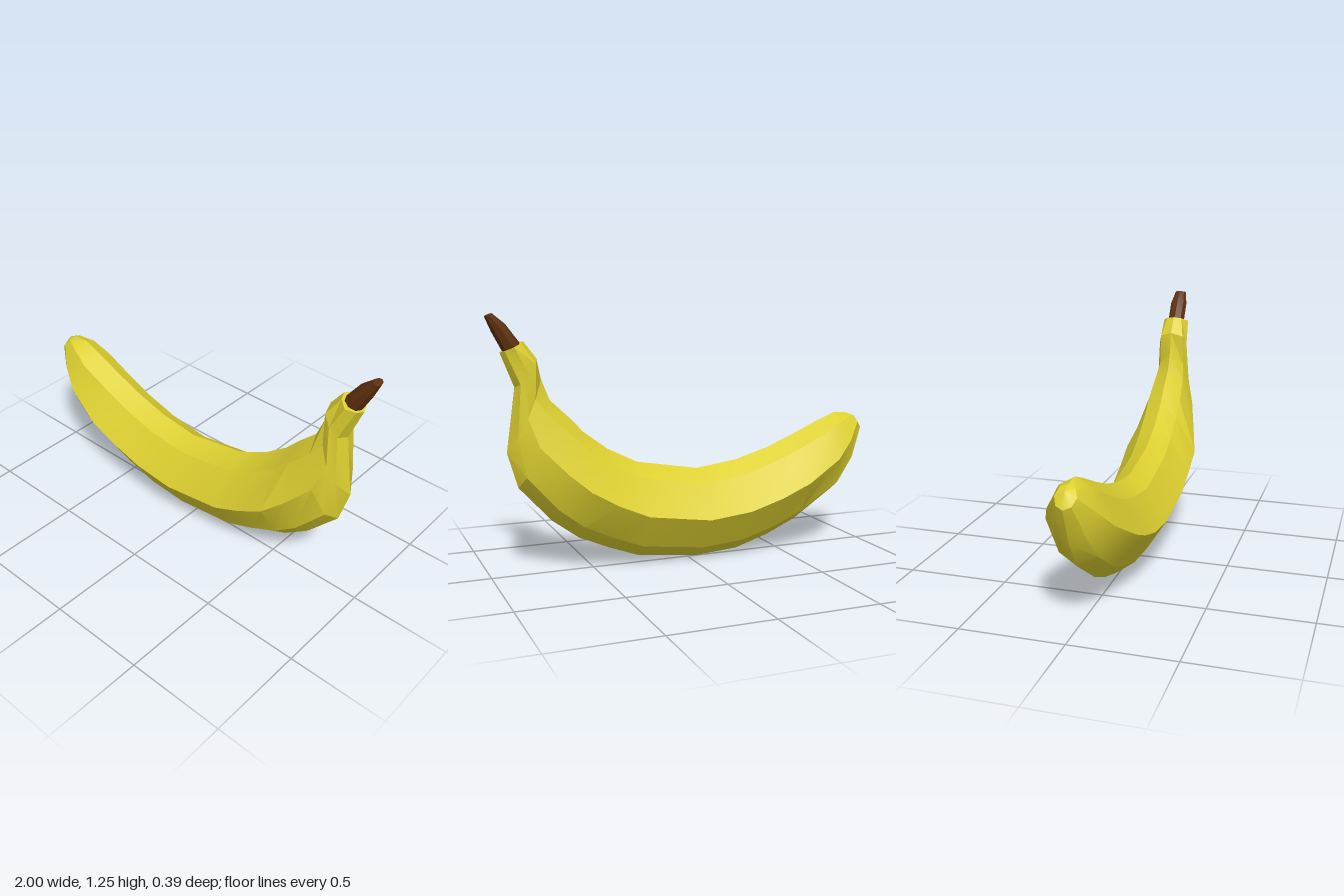
import * as THREE from 'three';
import { toCreasedNormals } from 'three/addons/utils/BufferGeometryUtils.js';

// Ring: [bottom x, y, top x, y, half width, shoulder half width, shoulder position]
// Each ring is an octagon with a keel below, a ridge above and shoulders between.
function ringPoints([bx, by, tx, ty, w, s, f]) {
  const at = (t, z) => new THREE.Vector3(bx + (tx - bx) * t, by + (ty - by) * t, z);
  return [at(0, 0), at(f, s), at(0.5, w), at(1 - f, s), at(1, 0), at(1 - f, -s), at(0.5, -w), at(f, -s)];
}

// Skin a row of rings and close both ends with a fan around a centre point
function loft(rings, startTip, endTip, crease) {
  const rows = rings.map(ringPoints);
  const pos = [];
  const tri = (...pts) => pts.forEach((p) => pos.push(p.x, p.y, p.z));
  const last = rows[rows.length - 1];
  for (let j = 0; j < 8; j++) {
    const k = (j + 1) % 8;
    for (let i = 0; i < rows.length - 1; i++) {
      tri(rows[i][j], rows[i + 1][j], rows[i + 1][k]);
      tri(rows[i][j], rows[i + 1][k], rows[i][k]);
    }
    tri(startTip, rows[0][j], rows[0][k]);
    tri(endTip, last[k], last[j]);
  }
  const geo = new THREE.BufferGeometry();
  geo.setAttribute('position', new THREE.Float32BufferAttribute(pos, 3));
  return toCreasedNormals(geo, crease);
}

export function createModel() {
  const yellow = new THREE.MeshStandardMaterial({ color: 0xddd030 });
  yellow.name = 'peelYellow';
  const brown = new THREE.MeshStandardMaterial({ color: 0x5e300c });
  brown.name = 'stemBrown';

  const group = new THREE.Group();
  group.name = 'banana';

  // Curved peel, from blossom end to neck
  const peelRings = [
    [-1.0, 0.61, -0.92, 0.70, 0.05, 0.035, 0.15],
    [-0.93, 0.43, -0.84, 0.705, 0.115, 0.07, 0.14],
    [-0.83, 0.29, -0.75, 0.67, 0.16, 0.09, 0.14],
    [-0.61, 0.145, -0.59, 0.60, 0.195, 0.09, 0.14],
    [-0.45, 0.075, -0.44, 0.54, 0.195, 0.09, 0.14],
    [-0.27, 0.02, -0.27, 0.49, 0.195, 0.09, 0.14],
    [-0.05, 0.004, -0.05, 0.46, 0.195, 0.09, 0.14],
    [0.27, 0.04, 0.27, 0.515, 0.195, 0.09, 0.14],
    [0.42, 0.095, 0.42, 0.59, 0.195, 0.09, 0.14],
    [0.57, 0.16, 0.54, 0.68, 0.195, 0.09, 0.14],
    [0.70, 0.255, 0.61, 0.755, 0.165, 0.09, 0.14],
    [0.86, 0.43, 0.70, 0.84, 0.125, 0.08, 0.15],
    [0.91, 0.60, 0.74, 0.94, 0.09, 0.068, 0.25],
    [0.865, 0.905, 0.76, 1.04, 0.078, 0.062, 0.15],
    [0.93, 1.07, 0.82, 1.12, 0.07, 0.04, 0.15],
  ];
  const peel = new THREE.Mesh(
    loft(peelRings, new THREE.Vector3(-0.968, 0.68, 0), new THREE.Vector3(0.875, 1.09, 0), 0.36), yellow);
  peel.name = 'peel';

  // Tapered woody stem
  const stemRings = [
    [0.915, 1.07, 0.83, 1.105, 0.045, 0.032, 0.146],
    [0.965, 1.165, 0.90, 1.20, 0.045, 0.032, 0.146],
    [0.995, 1.235, 0.96, 1.25, 0.03, 0.021, 0.146],
  ];
  const stem = new THREE.Mesh(
    loft(stemRings, new THREE.Vector3(0.872, 1.085, 0), new THREE.Vector3(0.978, 1.243, 0), 0.5), brown);
  stem.name = 'stem';

  group.add(peel, stem);
  return group;
}
